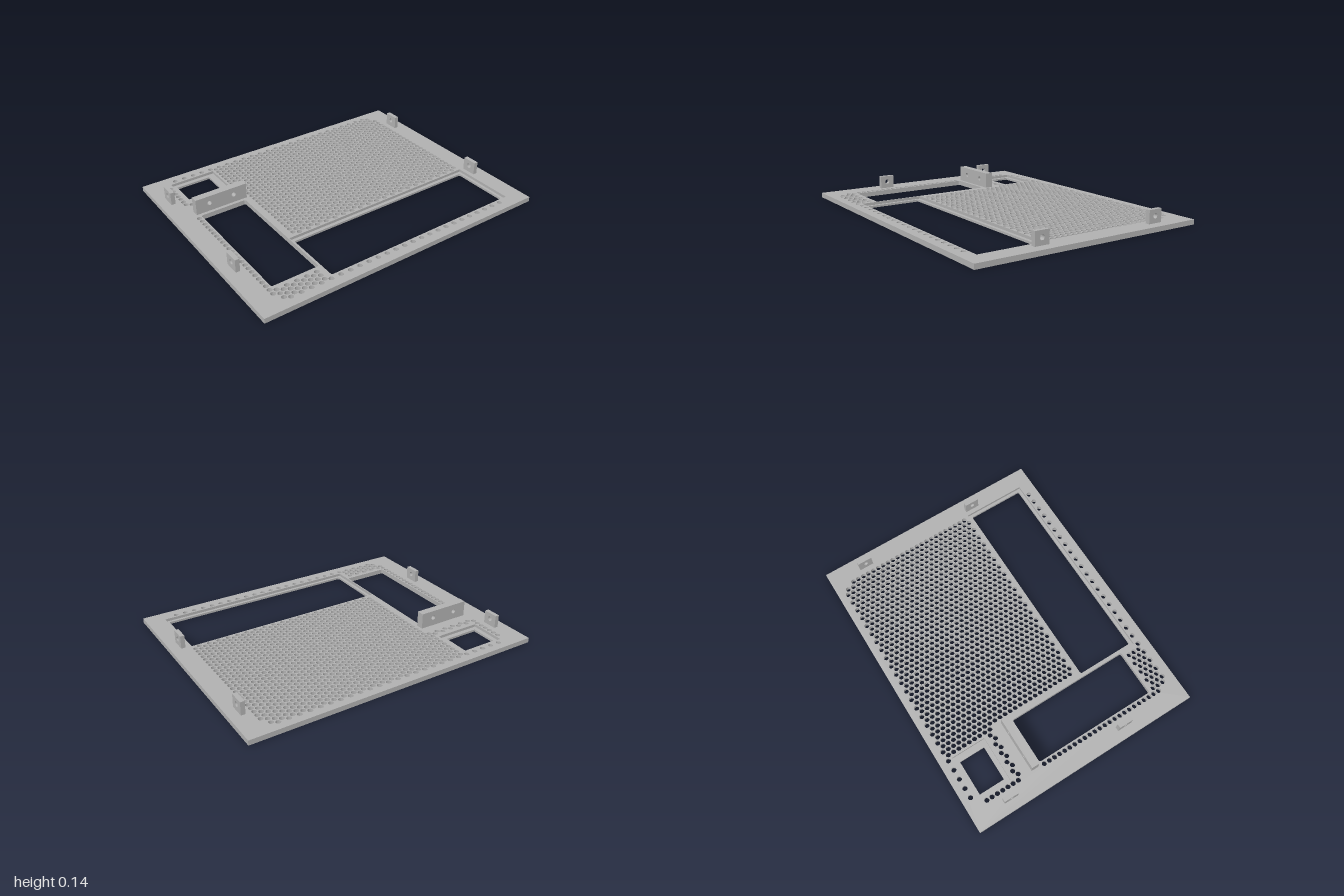
import * as THREE from 'three';

const THICK = 0.032;
const grey = new THREE.MeshStandardMaterial({ color: 0xb0b0b0 });
grey.name = 'grey';

// Rectangle outline with optional rounded corners
function rect(Type, x0, y0, x1, y1, r = 0) {
  const p = new Type();
  if (!r) {
    p.moveTo(x0, y0).lineTo(x1, y0).lineTo(x1, y1).lineTo(x0, y1).closePath();
    return p;
  }
  p.absarc(x1 - r, y0 + r, r, -Math.PI / 2, 0);
  p.absarc(x1 - r, y1 - r, r, 0, Math.PI / 2);
  p.absarc(x0 + r, y1 - r, r, Math.PI / 2, Math.PI);
  p.absarc(x0 + r, y0 + r, r, Math.PI, Math.PI * 1.5);
  p.closePath();
  return p;
}

function circle(x, y, r) {
  const p = new THREE.Path();
  p.absarc(x, y, r, 0, Math.PI * 2);
  return p;
}

const extrude = (shape, depth, curveSegments) =>
  new THREE.ExtrudeGeometry(shape, { depth, curveSegments, bevelEnabled: false });

// Horizontal slab: the shape's y becomes z, the slab stands on y = 0
const slab = (shape, depth) => extrude(shape, depth, 6).rotateX(Math.PI / 2).translate(0, depth, 0);

// Openings as [x0, z0, x1, z1]
const SMALL_RECESS = [-0.835, -0.70, -0.525, -0.465];
const SMALL_WINDOW = [-0.805, -0.67, -0.57, -0.495];
const SIDE_WINDOW = [-0.835, -0.253, -0.522, 0.587];
const LONG_RECESS = [-0.515, 0.267, 0.878, 0.695];
const LONG_WINDOW = [-0.495, 0.29, 0.858, 0.675];

// Areas kept free of vent hole centres
const blocked = [
  [-0.85, -0.715, -0.51, -0.435],
  [-0.87, -0.39, -0.475, -0.245],
  [-0.85, -0.27, -0.475, 0.61],
  [-0.535, 0.253, 0.89, 0.712],
];

// Staggered vent holes
function ventHoles() {
  const dx = 0.033, dz = 0.0381, holes = [];
  for (let i = 0; i <= 52; i++) {
    const edge = Math.min(i, 52 - i);
    for (let j = 0; j <= 38; j++) {
      const k = j + (i % 2) / 2;
      const cut = edge === 0 ? 2 : edge === 1 ? 0.5 : 0;
      if (k < cut || k > 38 - cut) continue;
      const x = (i - 26) * dx, z = -0.728 + k * dz;
      if (blocked.some(b => x > b[0] && x < b[2] && z > b[1] && z < b[3])) continue;
      holes.push(circle(x, z, 0.0162));
    }
  }
  return holes;
}

export function createModel() {
  const model = new THREE.Group();
  model.name = 'ventedPanel';
  const add = (name, geometry) => {
    const mesh = new THREE.Mesh(geometry, grey);
    mesh.name = name;
    model.add(mesh);
    return mesh;
  };

  // Perforated plate
  const plate = rect(THREE.Shape, -1, -0.788, 1, 0.788);
  plate.holes.push(
    rect(THREE.Path, ...SMALL_RECESS),
    rect(THREE.Path, ...SIDE_WINDOW, 0.012),
    rect(THREE.Path, ...LONG_RECESS),
    ...ventHoles(),
  );
  add('plate', slab(plate, THICK));

  // Sunken ledges around two of the windows
  const ledges = [
    ['smallWindowLedge', SMALL_RECESS, SMALL_WINDOW, 0],
    ['longWindowLedge', LONG_RECESS, LONG_WINDOW, 0.012],
  ];
  for (const [name, outer, inner, r] of ledges) {
    const ring = rect(THREE.Shape, ...outer);
    ring.holes.push(rect(THREE.Path, ...inner, r));
    add(name, slab(ring, 0.014));
  }

  // Upright bracket with two screw holes
  const bracket = rect(THREE.Shape, -0.855, THICK, -0.498, 0.137);
  for (const x of [-0.762, -0.59]) bracket.holes.push(circle(x, 0.087, 0.015));
  add('bracket', extrude(bracket, 0.05, 12).translate(0, 0, -0.325));

  // Four mounting tabs with a cross hole
  const tab = rect(THREE.Shape, -0.049, THICK, 0.049, 0.118);
  tab.holes.push(circle(0, 0.077, 0.016));
  const tabGeometry = extrude(tab, 0.028, 12).translate(0, 0, -0.014).rotateY(Math.PI / 2);
  for (const x of [-0.921, 0.921]) {
    for (const z of [-0.522, 0.321]) add('mountingTab', tabGeometry).position.set(x, 0, z);
  }

  return model;
}
